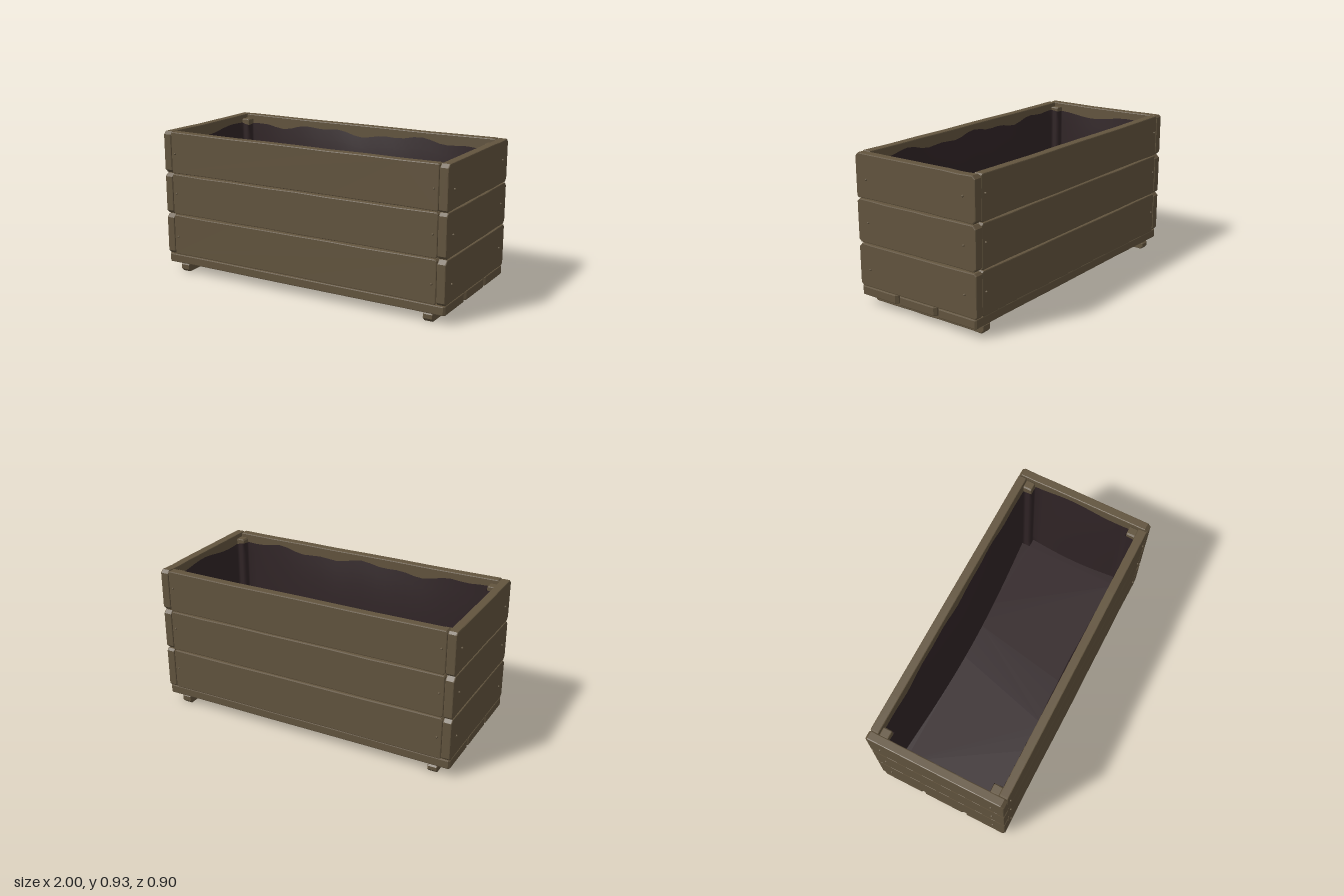
import * as THREE from 'three';

export function createModel() {
  const model = new THREE.Group();
  model.name = 'planterBox';
  const wood = new THREE.MeshStandardMaterial({ color: 0x62543e });
  wood.name = 'weatheredWood';
  const fabric = new THREE.MeshStandardMaterial({ color: 0x302426, side: THREE.DoubleSide });
  fabric.name = 'darkLiner';

  // Small seeded generator for wear on the boards
  let seed = 7;
  const rand = () => (seed = (seed * 16807) % 2147483647) / 2147483647;

  // Board with clipped corners, slightly uneven long edges and a soft bevel
  function board(name, length, height, thick, clip = 0.01) {
    const b = 0.006, L = length / 2 - b, H = height / 2 - b;
    const pts = [];
    for (const s of [-1, 1]) {
      const c0 = clip * (0.5 + rand()), c1 = clip * (0.5 + rand());
      pts.push([s * L, s * (H - c0)], [s * (L - c0), s * H]);
      for (let i = 1; i < 8; i++) {
        pts.push([s * (L - 2 * L * i / 8), s * (H - 0.004 * rand())]);
      }
      pts.push([-s * (L - c1), s * H], [-s * L, s * (H - c1)]);
    }
    const shape = new THREE.Shape(pts.map(p => new THREE.Vector2(...p)));
    const geo = new THREE.ExtrudeGeometry(shape, {
      depth: thick - 2 * b, bevelEnabled: true, bevelSize: b, bevelThickness: b, bevelSegments: 2
    });
    geo.translate(0, 0, b - thick / 2);
    const mesh = new THREE.Mesh(geo, wood);
    mesh.name = name;
    model.add(mesh);
    return mesh;
  }

  // Domed screw head whose axis points along x or z
  const screwGeo = new THREE.SphereGeometry(0.007, 10, 6);
  function screw(x, y, z, alongX) {
    const mesh = new THREE.Mesh(screwGeo, wood);
    mesh.name = 'screw';
    mesh.position.set(x, y, z);
    mesh.scale.set(alongX ? 1.4 : 1, 1, alongX ? 1 : 1.4);
    model.add(mesh);
  }

  // Three courses of wall boards
  const rows = [[0.118, 0.386], [0.391, 0.657], [0.661, 0.931]];
  const screwRows = [[0.23, 0.25], [0.52, 0.535], [0.78, 0.81]];
  rows.forEach(([y0, y1], i) => {
    const y = (y0 + y1) / 2, h = y1 - y0;
    for (const s of [-1, 1]) {
      board('longWallBoard', 1.868, h, 0.055, 0.006).position.set(0, y, s * 0.4145);
      const end = board('endWallBoard', 0.888, h, 0.055, 0.014);
      end.rotation.y = Math.PI / 2;
      end.position.set(s * 0.9635, y, 0);
      for (const t of [-1, 1]) {
        screw(s * 0.991, screwRows[i][t < 0 ? 1 : 0], t * 0.36, true);
        screw(t * 0.905, screwRows[i][s < 0 ? 1 : 0] + 0.01, s * 0.442, false);
      }
    }
  });

  // Base boards
  for (const [z, w] of [[0.298, 0.284], [0.002, 0.284], [-0.293, 0.284]]) {
    const base = board('baseBoard', 1.98, w, 0.056, 0.008);
    base.rotation.x = Math.PI / 2;
    base.position.set(0, 0.088, z);
  }

  // Runners underneath and corner posts inside
  for (const s of [-1, 1]) {
    const foot = board('footRunner', 0.844, 0.06, 0.062, 0.012);
    foot.rotation.y = Math.PI / 2;
    foot.position.set(s * 0.877, 0.03, 0);
    for (const t of [-1, 1]) {
      const post = board('cornerPost', 0.79, 0.058, 0.058, 0.004);
      post.rotation.z = Math.PI / 2;
      post.position.set(s * 0.907, 0.51, t * 0.358);
    }
  }

  // Liner outline: a rectangle stepping around the four posts
  const hx = 0.932, hz = 0.382, nx = 0.874, nz = 0.325;
  const corners = [
    [hx, -nz], [hx, nz], [nx, nz], [nx, hz], [-nx, hz], [-nx, nz],
    [-hx, nz], [-hx, -nz], [-nx, -nz], [-nx, -hz], [nx, -hz], [nx, -nz]
  ];
  const outline = [];
  corners.forEach(([x, z], i) => {
    const [x2, z2] = corners[(i + 1) % corners.length];
    const len = Math.hypot(x2 - x, z2 - z), n = len > 1 ? 28 : len > 0.3 ? 12 : 3;
    for (let k = 0; k < n; k++) {
      const t = k / n;
      // Long panels sag inwards more than short ones
      const sag = Math.sin(Math.PI * t) * (len > 1 ? 0.045 : len > 0.3 ? 0.02 : 0);
      outline.push({
        x: x + (x2 - x) * t, z: z + (z2 - z) * t, sag, alongX: len > 1
      });
    }
  });

  // Liner walls from stacked rings with a wavy upper hem
  const levels = 10, floorY = 0.135, n = outline.length;
  const pos = [], idx = [];
  for (let j = 0; j <= levels; j++) {
    const v = j / levels;
    for (const p of outline) {
      const wave = 0.014 * Math.sin(p.x * 9 + p.z * 5) + 0.009 * Math.sin(p.x * 21 - p.z * 13);
      const top = 0.872 + wave;
      const inward = p.sag * (1 - v ** 3);
      pos.push(
        p.x - (p.alongX ? 0 : Math.sign(p.x) * inward),
        floorY + (top - floorY) * v,
        p.z - (p.alongX ? Math.sign(p.z) * inward : 0)
      );
    }
  }
  for (let j = 0; j < levels; j++) {
    for (let i = 0; i < n; i++) {
      const a = j * n + i, b = j * n + (i + 1) % n;
      idx.push(a, b, a + n, b, b + n, a + n);
    }
  }
  const wallGeo = new THREE.BufferGeometry();
  wallGeo.setAttribute('position', new THREE.Float32BufferAttribute(pos, 3));
  wallGeo.setIndex(idx);
  wallGeo.computeVertexNormals();
  const linerWall = new THREE.Mesh(wallGeo, fabric);
  linerWall.name = 'linerWall';

  // Liner floor closes the lowest ring
  const ring = [];
  for (let i = 0; i < n; i++) ring.push(new THREE.Vector2(pos[i * 3], -pos[i * 3 + 2]));
  const floorGeo = new THREE.ShapeGeometry(new THREE.Shape(ring));
  floorGeo.rotateX(-Math.PI / 2);
  const linerFloor = new THREE.Mesh(floorGeo, fabric);
  linerFloor.name = 'linerFloor';
  linerFloor.position.y = floorY;
  model.add(linerWall, linerFloor);

  return model;
}
